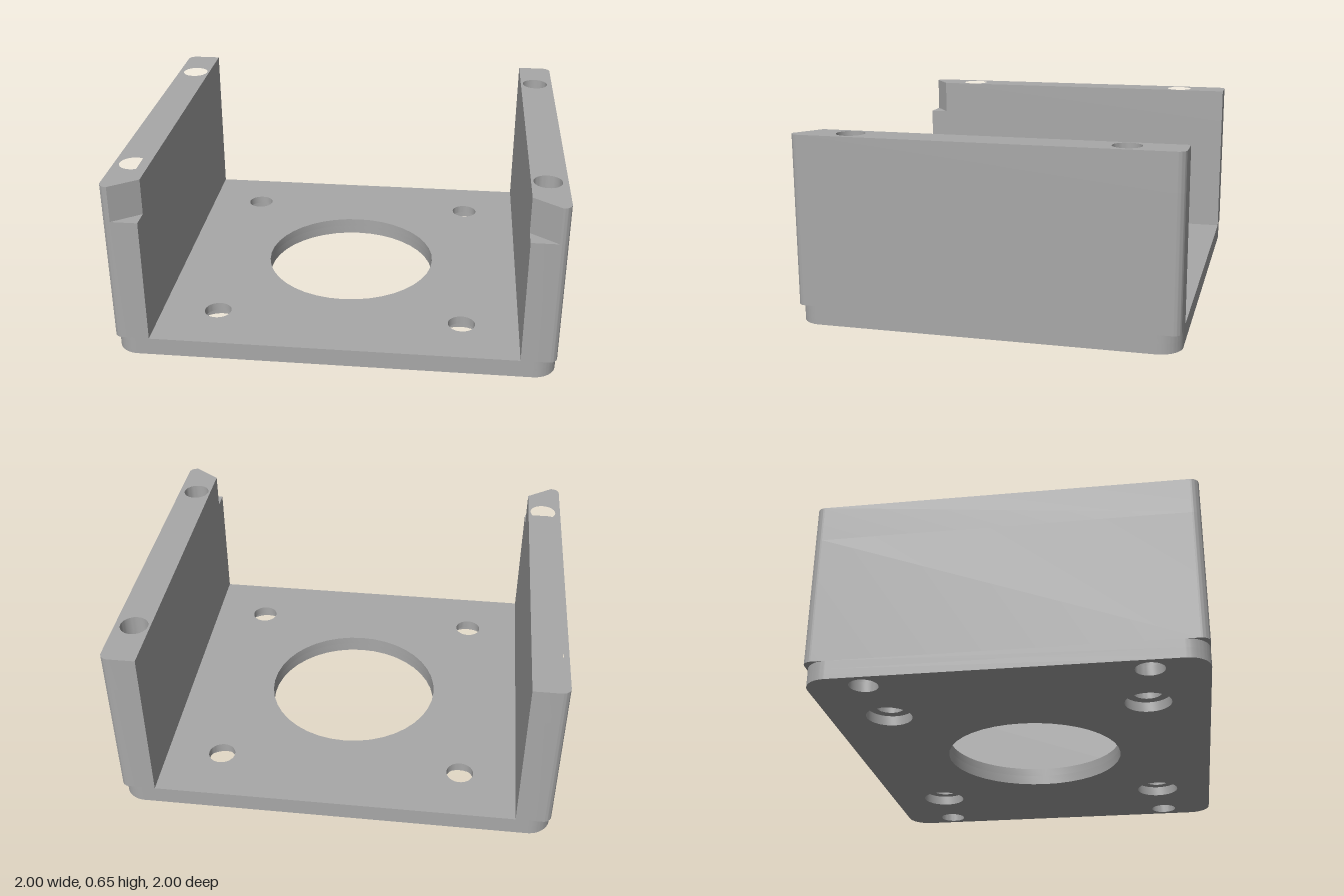
import * as THREE from 'three';
import { toCreasedNormals } from 'three/addons/utils/BufferGeometryUtils.js';

const HALF_W = 0.655;   // half length along the walls
const OUTER = 0.775;    // outer face of each wall
const INNER = 0.65;     // inner face of each wall
const FLOOR = 0.065, NOTCH = 0.525, TOP = 0.655;

// Outline from [x, z, radius] corners; right-angled corners may be rounded
function outline(corners) {
  const shape = new THREE.Shape();
  const n = corners.length;
  corners.forEach(([x, z, r = 0], i) => {
    const p = new THREE.Vector2(x, z);
    const toward = (j) => {
      const [a, b] = corners[(j + n) % n];
      return new THREE.Vector2(a, b).sub(p).normalize();
    };
    const before = toward(i - 1), after = toward(i + 1);
    const at = (dir, d) => p.clone().addScaledVector(dir, d);
    const start = at(before, r), end = at(after, r);
    if (i === 0) shape.moveTo(start.x, start.y);
    else shape.lineTo(start.x, start.y);
    if (r > 0) {
      const c1 = at(before, r * 0.448), c2 = at(after, r * 0.448);
      shape.bezierCurveTo(c1.x, c1.y, c2.x, c2.y, end.x, end.y);
    }
  });
  shape.closePath();
  return shape;
}

function drill(shape, x, z, r) {
  const hole = new THREE.Path();
  hole.absarc(x, z, r, 0, Math.PI * 2, true);
  shape.holes.push(hole);
}

// Upright slab from y0 to y1 with the given plan
function slab(name, shape, y0, y1, material) {
  const geo = new THREE.ExtrudeGeometry(shape, { depth: y1 - y0, bevelEnabled: false, curveSegments: 20 });
  geo.rotateX(Math.PI / 2).translate(0, y1, 0);
  const mesh = new THREE.Mesh(toCreasedNormals(geo, 0.6), material);
  mesh.name = name;
  return mesh;
}

export function createModel() {
  const grey = new THREE.MeshStandardMaterial({ color: 0xa8a8a8 });
  grey.name = 'grey plastic';
  const bracket = new THREE.Group();
  bracket.name = 'mountBracket';

  const screwSpots = [[-0.463, -0.7], [-0.463, 0.7], [0.463, -0.7], [0.463, 0.7]];

  // Base plate in two layers, the lower one with wider recesses for screw heads
  const plateLayer = (name, mountRadius, y0, y1) => {
    const r = 0.08;
    const plan = outline([
      [-HALF_W, -OUTER, r], [HALF_W, -OUTER, r], [HALF_W, OUTER, r], [-HALF_W, OUTER, r],
    ]);
    drill(plan, 0, 0, 0.323);
    for (const sx of [-1, 1]) for (const sz of [-1, 1]) drill(plan, sx * 0.446, sz * 0.446, mountRadius);
    for (const [x, z] of screwSpots) drill(plan, x, z * 1.01, 0.049);
    bracket.add(slab(name, plan, y0, y1, grey));
  };
  plateLayer('basePlateBottom', 0.08, 0, 0.035);
  plateLayer('basePlateTop', 0.049, 0.035, FLOOR);

  // Two mirrored walls, each with an inner corner cut away near the top
  for (const s of [-1, 1]) {
    const wall = new THREE.Group();
    wall.name = s < 0 ? 'backWall' : 'frontWall';
    const outer = [[HALF_W, s * OUTER, 0.03], [-HALF_W, s * OUTER, 0.03]];
    const lower = outline([[HALF_W, s * INNER], ...outer, [-HALF_W, s * INNER]]);
    const upper = outline([[HALF_W, s * INNER], ...outer, [-HALF_W, s * 0.744], [-0.587, s * INNER]]);
    for (const plan of [lower, upper])
      for (const x of [-0.463, 0.463]) drill(plan, x, s * 0.707, 0.049);
    wall.add(slab('wallBody', lower, FLOOR, NOTCH, grey), slab('wallNotchedTop', upper, NOTCH, TOP, grey));
    bracket.add(wall);
  }

  // The bracket sits diagonally
  bracket.rotation.y = Math.PI / 4;
  const model = new THREE.Group();
  model.name = 'model';
  model.add(bracket);
  return model;
}
